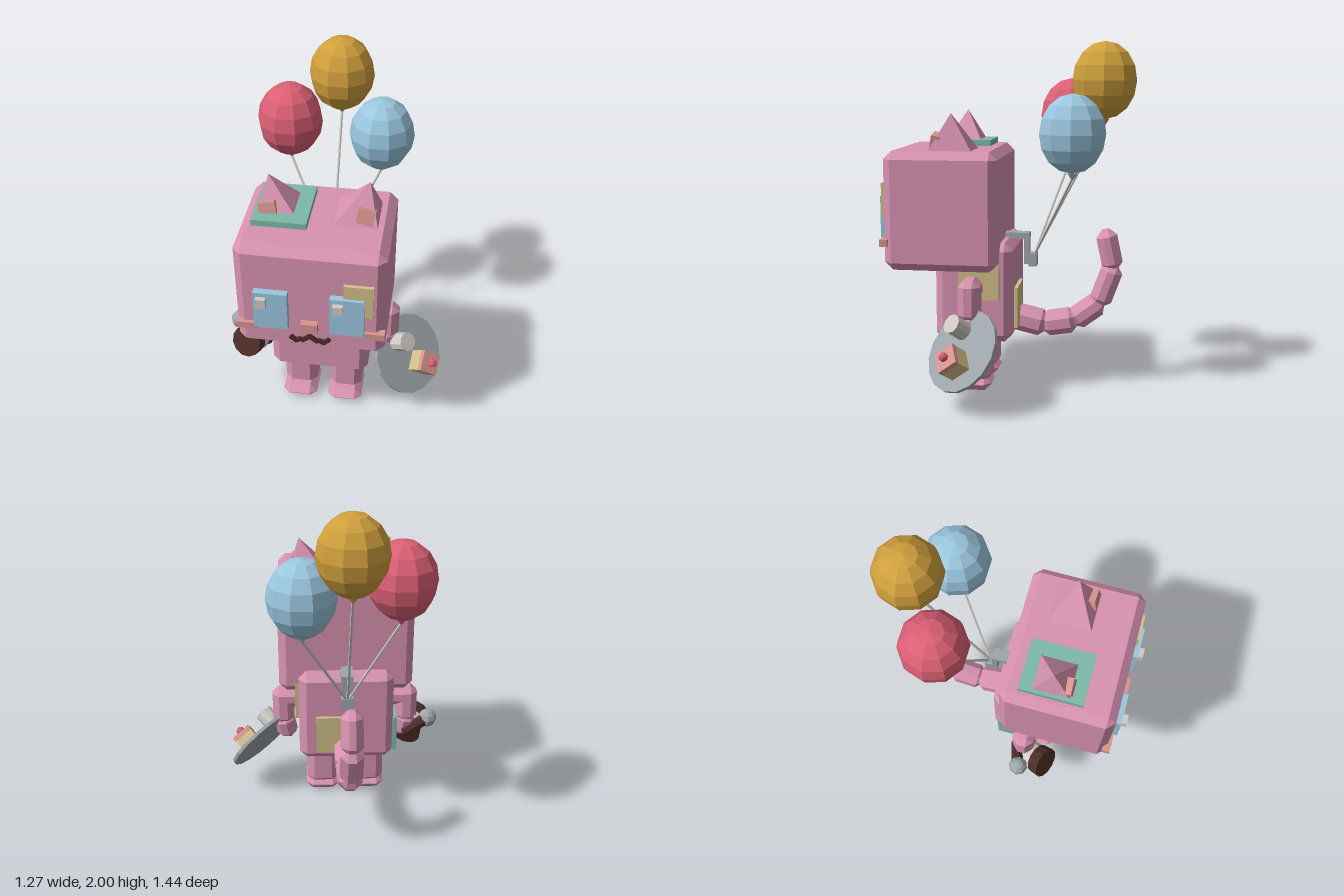
import * as THREE from 'three';
import { ConvexGeometry } from 'three/addons/geometries/ConvexGeometry.js';

const V = (x, y, z) => new THREE.Vector3(x, y, z);
const UP = V(0, 1, 0);
const MID = -0.07; // symmetry plane of the body

export function createModel() {
  const root = new THREE.Group();
  root.name = 'balloonCat';
  const mat = {};
  const palette = {
    pink: 0xd893b1, blue: 0x9ac6de, gold: 0xcf9f3c, tan: 0xd2c088, red: 0xdb5f74,
    green: 0x7dbaa8, salmon: 0xd8958e, brown: 0x4c2e28, grey: 0x9fa6ac, white: 0xd0ccc5,
  };
  for (const [name, hex] of Object.entries(palette)) {
    mat[name] = new THREE.MeshStandardMaterial({ color: hex });
    mat[name].name = name;
  }

  // Adds a faceted mesh
  function add(name, color, geo, parent = root) {
    const g = geo.index ? geo.toNonIndexed() : geo;
    g.computeVertexNormals();
    const m = new THREE.Mesh(g, mat[color]);
    m.name = name;
    parent.add(m);
    return m;
  }
  // Centred box with cut edges
  function chamferGeo(w, h, d, c) {
    if (!c) return new THREE.BoxGeometry(w, h, d);
    const pts = [];
    for (const x of [-w / 2, w / 2]) for (const y of [-h / 2, h / 2]) for (const z of [-d / 2, d / 2]) {
      const ix = x - Math.sign(x) * c, iy = y - Math.sign(y) * c, iz = z - Math.sign(z) * c;
      pts.push(V(x, iy, iz), V(ix, y, iz), V(ix, iy, z));
    }
    return new ConvexGeometry(pts);
  }
  // Box given by its limits
  function box(name, color, x0, x1, y0, y1, z0, z1, c = 0) {
    const m = add(name, color, chamferGeo(x1 - x0, y1 - y0, z1 - z0, c));
    m.position.set((x0 + x1) / 2, (y0 + y1) / 2, (z0 + z1) / 2);
    return m;
  }
  // Lays a y-aligned geometry between two points
  function between(name, color, geo, a, b) {
    const m = add(name, color, geo);
    m.position.copy(a).lerp(b, 0.5);
    m.quaternion.setFromUnitVectors(UP, b.clone().sub(a).normalize());
    return m;
  }
  function limb(name, a, b, w, c, extra = 0.03) {
    return between(name, 'pink', chamferGeo(w, a.distanceTo(b) + extra, w, c), a, b);
  }
  const rod = (name, color, a, b, rTop, rBottom, n) =>
    between(name, color, new THREE.CylinderGeometry(rTop, rBottom, a.distanceTo(b), n), a, b);

  // Head and torso
  box('head', 'pink', -0.465, 0.325, 0.735, 1.4, 0.03, 0.665, 0.045);
  box('torso', 'pink', -0.35, 0.21, 0.31, 0.88, -0.04, 0.4, 0.045);

  for (const s of [-1, 1]) {
    const X = (d) => MID + s * d;
    const span = (name, color, cx, w, ...r) => box(name, color, X(cx) - w / 2, X(cx) + w / 2, ...r);
    // Legs and feet
    span('leg', 'pink', 0.137, 0.195, 0.05, 0.35, 0.09, 0.28, 0.042);
    span('foot', 'pink', 0.137, 0.205, 0, 0.085, 0.09, 0.35, 0.04);
    // Arms
    span('shoulder', 'pink', 0.32, 0.14, 0.575, 0.7, 0.12, 0.245, 0.04);
    span('upperArm', 'pink', 0.375, 0.13, 0.46, 0.7, 0.12, 0.245, 0.04);
    limb('forearm', V(X(0.375), 0.5, 0.18), V(X(0.35), 0.37, 0.2), 0.12, 0.038);
    // Ears: four-sided cones whose tips lean outward
    const ear = new THREE.ConeGeometry(Math.SQRT2, 0.205, 4, 1);
    ear.rotateY(Math.PI / 4);
    ear.scale(0.115, 1, 0.12);
    const p = ear.attributes.position;
    for (let i = 0; i < p.count; i++) p.setX(i, p.getX(i) + s * 0.06 * (p.getY(i) / 0.205 + 0.5));
    add('ear', 'pink', ear).position.set(X(0.205), 1.502, 0.3);
    span('innerEar', 'salmon', 0.255, 0.09, 1.41, 1.49, 0.36, 0.41).rotation.set(-0.2, 0, -s * 0.2);
    // Eyes and cheeks
    span('eye', 'blue', 0.2, 0.18, 0.905, 1.14, 0.65, 0.703);
    const hx = X(0.2) - 0.045;
    box('eyeHighlight', 'white', hx - 0.027, hx + 0.027, 1.06, 1.115, 0.69, 0.73);
    span('cheek', 'salmon', 0.342, 0.11, 0.872, 0.912, 0.64, 0.685);
    // Curled mouth strokes
    const line = [[0, 0.845], [0.04, 0.815], [0.05, 0.822], [0.075, 0.81], [0.1, 0.832]];
    for (const [i, j] of [[0, 1], [2, 3], [3, 4]]) {
      const a = V(X(line[i][0]), line[i][1], 0.668), b = V(X(line[j][0]), line[j][1], 0.668);
      between('mouthStroke', 'brown', new THREE.BoxGeometry(0.022, a.distanceTo(b) + 0.012, 0.028), a, b);
    }
  }

  // Face centre
  box('nose', 'salmon', -0.115, -0.025, 0.89, 0.95, 0.65, 0.703);
  box('mouthLine', 'brown', -0.081, -0.059, 0.835, 0.89, 0.655, 0.682);

  // Patches
  box('eyePatch', 'tan', 0.11, 0.265, 1.02, 1.22, 0.65, 0.685);
  box('earPatch', 'green', -0.4, -0.11, 1.39, 1.435, 0.13, 0.48);
  box('sidePatchRight', 'green', -0.375, -0.34, 0.35, 0.57, 0.0, 0.2);
  box('sidePatchLeft', 'tan', 0.2, 0.233, 0.565, 0.8, 0.03, 0.26);
  box('backPatch', 'tan', -0.13, 0.11, 0.375, 0.61, -0.06, -0.03);

  // Tail: chain of faceted links
  const tail = [[0.02, 0.41], [-0.2, 0.36], [-0.375, 0.39], [-0.52, 0.5], [-0.595, 0.71], [-0.55, 0.915]];
  for (let i = 1; i < tail.length; i++) {
    const [z0, y0] = tail[i - 1], [z1, y1] = tail[i];
    limb('tailLink' + i, V(MID, y0, z0), V(MID, y1, z1), 0.155 - i * 0.007, 0.042, 0.035);
  }

  // Balloon holder on the back
  box('holderBar', 'grey', -0.105, -0.035, 0.87, 0.905, -0.11, 0.06);
  box('holderPost', 'grey', -0.105, -0.035, 0.72, 0.905, -0.11, -0.078);
  box('holderBlock', 'grey', -0.105, -0.035, 0.708, 0.785, -0.153, -0.105);

  // Balloons with knots and strings
  const tie = V(MID, 0.76, -0.13);
  for (const [color, x, y, z] of [['red', -0.34, 1.575, -0.33], ['gold', MID, 1.782, -0.53], ['blue', 0.185, 1.497, -0.37]]) {
    const ball = new THREE.SphereGeometry(1, 10, 8);
    ball.scale(0.188, 0.217, 0.188);
    add(color + 'Balloon', color, ball).position.set(x, y, z);
    const knot = new THREE.ConeGeometry(0.03, 0.045, 6);
    knot.rotateX(Math.PI);
    add(color + 'Knot', color, knot).position.set(x, y - 0.237, z);
    rod(color + 'String', 'white', tie, V(x, y - 0.245, z), 0.008, 0.008, 5);
  }

  // Tilted plate with a cup and a small cake
  const plate = new THREE.Group();
  plate.name = 'servingPlate';
  const n = V(0.64, 0.56, 0.525).normalize();
  const u = V(n.y, -n.x, 0).normalize();
  plate.quaternion.setFromRotationMatrix(new THREE.Matrix4().makeBasis(u, n, u.clone().cross(n)));
  plate.position.set(0.435, 0.33, 0.2);
  root.add(plate);
  add('plate', 'grey', new THREE.CylinderGeometry(0.238, 0.238, 0.02, 16), plate);
  add('cup', 'white', new THREE.CylinderGeometry(0.055, 0.055, 0.11, 10), plate).position.set(-0.115, 0.06, 0);
  const cake = new THREE.Group();
  cake.name = 'cake';
  cake.position.x = 0.09;
  cake.rotation.y = 0.37;
  plate.add(cake);
  add('cakeBase', 'tan', new THREE.BoxGeometry(0.12, 0.09, 0.12), cake).position.y = 0.05;
  add('cakeTop', 'salmon', new THREE.BoxGeometry(0.122, 0.03, 0.122), cake).position.y = 0.11;
  add('cherry', 'red', new THREE.SphereGeometry(0.026, 8, 6), cake).position.y = 0.14;

  // Banded drum in the other hand
  const axis = V(-0.32, 0.36, 0.88).normalize();
  const at = (t) => V(-0.485, 0.395, 0.255).addScaledVector(axis, t);
  rod('drumBack', 'brown', at(-0.1), at(-0.03), 0.08, 0.085, 12);
  rod('drumBand', 'white', at(-0.03), at(0.03), 0.086, 0.086, 12);
  rod('drumFront', 'brown', at(0.03), at(0.1), 0.095, 0.09, 12);

  // Round-headed beater beside the drum
  const knob = V(-0.585, 0.462, 0.185);
  rod('beaterHandle', 'brown', V(-0.43, 0.39, 0.13), knob, 0.042, 0.03, 8);
  add('beaterHead', 'grey', new THREE.SphereGeometry(0.057, 8, 6)).position.copy(knob);

  return root;
}
